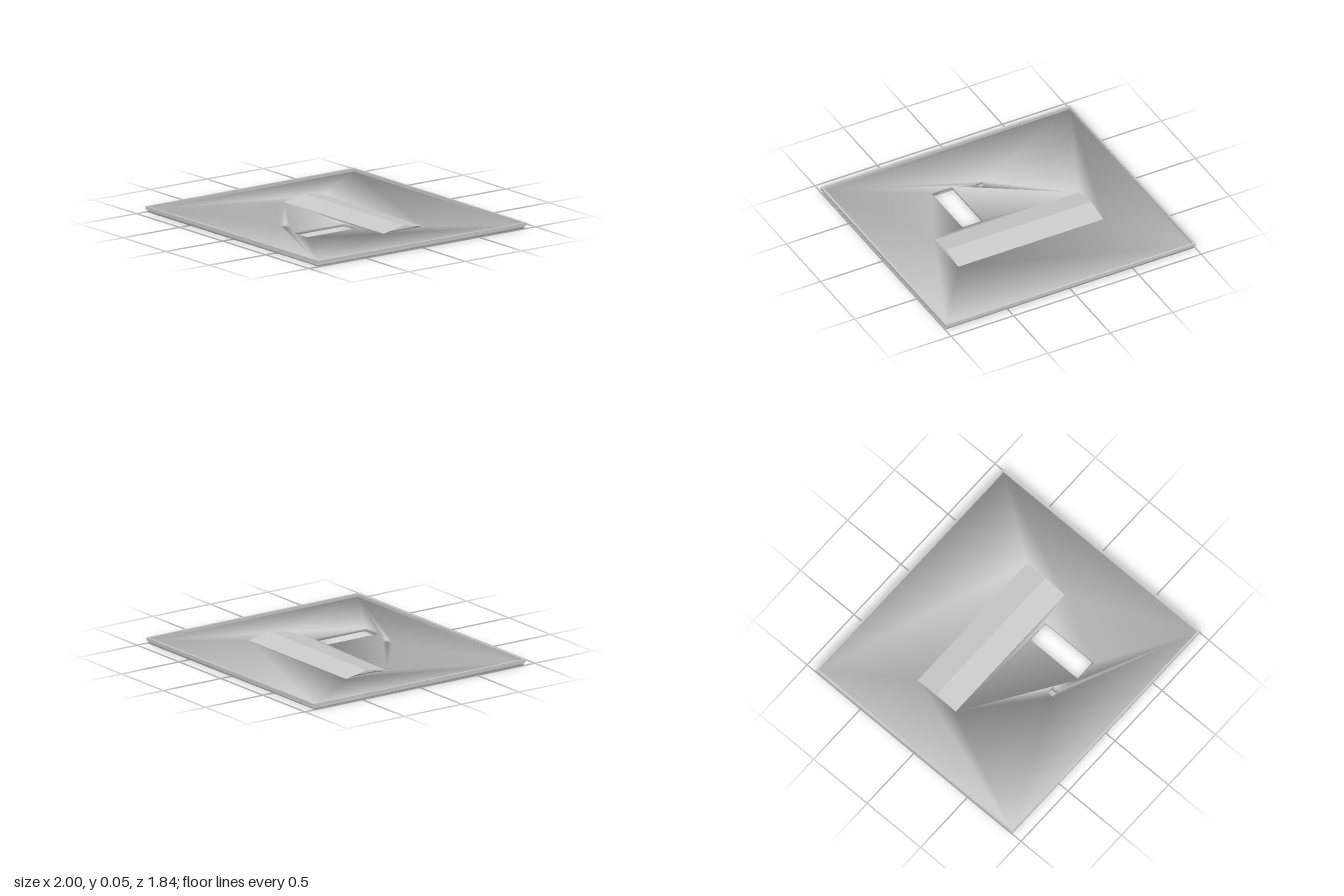
import * as THREE from 'three';

const material = new THREE.MeshStandardMaterial({ color: 0xcccccc, side: THREE.DoubleSide });

// Traces a rectangle in plan (x, z)
function rect(target, x0, x1, z0, z1) {
  target.moveTo(x0, z0);
  target.lineTo(x1, z0);
  target.lineTo(x1, z1);
  target.lineTo(x0, z1);
  target.closePath();
  return target;
}

// Plate with rectangular openings, lying flat between two heights
function plate(name, outline, openings, bottom, top) {
  const shape = rect(new THREE.Shape(), ...outline);
  for (const o of openings) shape.holes.push(rect(new THREE.Path(), ...o));
  const geo = new THREE.ExtrudeGeometry(shape, { depth: top - bottom, bevelEnabled: false });
  geo.rotateX(Math.PI / 2).translate(0, top, 0);
  const mesh = new THREE.Mesh(geo, material);
  mesh.name = name;
  return mesh;
}

// Blends the distinct face directions that meet at each corner
function smoothCorners(geo) {
  const pos = geo.attributes.position, nor = geo.attributes.normal;
  const key = (a, i) => [a.getX(i), a.getY(i), a.getZ(i)].map((v) => Math.round(v * 1000)).join();
  const corners = new Map();
  for (let i = 0; i < pos.count; i++) {
    const k = key(pos, i);
    if (!corners.has(k)) corners.set(k, new Map());
    corners.get(k).set(key(nor, i), new THREE.Vector3().fromBufferAttribute(nor, i));
  }
  for (let i = 0; i < pos.count; i++) {
    const n = new THREE.Vector3();
    for (const d of corners.get(key(pos, i)).values()) n.add(d);
    n.normalize();
    nor.setXYZ(i, n.x, n.y, n.z);
  }
}

export function createModel() {
  const model = new THREE.Group();
  model.name = 'roof';

  // Slab with the skylight, hatch and chimney openings
  const skylight = [-0.58, 0.58, -0.335, 0.02];
  const hatch = [0.17, 0.335, 0.055, 0.51];
  const chimney = [-0.045, 0.013, 0.41, 0.46];
  const slab = plate('roofSlab', [-0.99, 0.99, -0.91, 0.91], [skylight, hatch, chimney], 0, 0.02);
  smoothCorners(slab.geometry);
  model.add(slab);

  // Narrow raised border
  model.add(plate('rim', [-1, 1, -0.92, 0.92], [[-0.985, 0.985, -0.905, 0.905]], 0.02, 0.043));

  // Two thin pitched panels over the skylight, open at both ends
  const [x0, x1, zBack, zFront] = skylight;
  const ridgeZ = (zBack + zFront) / 2, eaveY = 0.02, ridgeY = 0.053;
  const cover = new THREE.Group();
  cover.name = 'skylightCover';
  for (const [name, z, side] of [['backPanel', zBack, -1], ['frontPanel', zFront, 1]]) {
    const run = Math.abs(z - ridgeZ), rise = ridgeY - eaveY;
    const geo = new THREE.PlaneGeometry(x1 - x0, Math.hypot(run, rise));
    geo.rotateX(-Math.PI / 2).rotateX(side * Math.atan2(rise, run));
    const panel = new THREE.Mesh(geo, material);
    panel.name = name;
    panel.position.set(0, (eaveY + ridgeY) / 2, (z + ridgeZ) / 2);
    cover.add(panel);
  }
  model.add(cover);
  return model;
}
